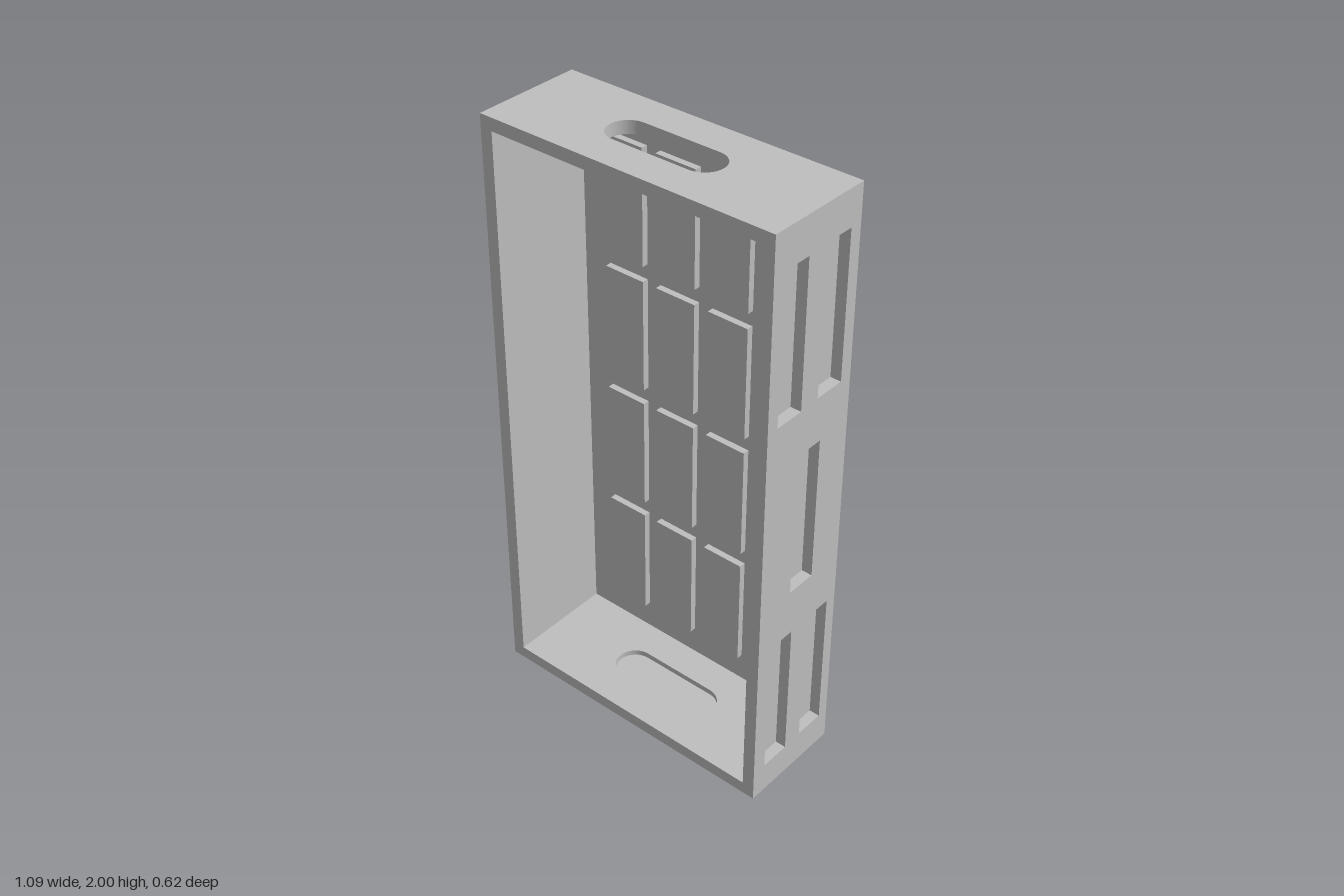
import * as THREE from 'three';

const W = 1.03, H = 2, D = 0.37;      // outer size of the case
const WALL = 0.042, BACK = 0.006;     // wall and back thickness
const POCKET = 0.036;                 // depth of the side slots

const grey = new THREE.MeshStandardMaterial({ color: 0xbebebe });
grey.name = 'plain grey';

function rectangle(x0, y0, x1, y1, Type = THREE.Shape) {
  const s = new Type();
  s.moveTo(x0, y0);
  s.lineTo(x1, y0);
  s.lineTo(x1, y1);
  s.lineTo(x0, y1);
  s.closePath();
  return s;
}

// Rounded hand hole
function stadium(half, r) {
  const p = new THREE.Path();
  p.absarc(half, 0, r, -Math.PI / 2, Math.PI / 2, false);
  p.absarc(-half, 0, r, Math.PI / 2, Math.PI * 1.5, false);
  p.closePath();
  return p;
}

function extrude(shape, depth) {
  return new THREE.ExtrudeGeometry(shape, { depth, bevelEnabled: false, curveSegments: 16 });
}

export function createModel() {
  const model = new THREE.Group();
  model.name = 'openCase';

  function add(name, geometry, x, y, z) {
    const mesh = new THREE.Mesh(geometry, grey);
    mesh.name = name;
    mesh.position.set(x, y, z);
    model.add(mesh);
  }
  function box(name, w, h, d, x, y, z) {
    add(name, new THREE.BoxGeometry(w, h, d), x, y, z);
  }

  // Side walls: slotted outer layer and a closed inner skin
  const slots = [
    [0.039, 1.39, 0.143, 1.875], [-0.142, 1.395, -0.035, 1.88],
    [-0.058, 0.75, 0.046, 1.24],
    [0.029, 0.105, 0.133, 0.587], [-0.146, 0.11, -0.042, 0.592],
  ];
  const side = rectangle(-D / 2, 0, D / 2, H);
  for (const s of slots) side.holes.push(rectangle(...s, THREE.Path));
  const sideGeometry = extrude(side, POCKET).rotateY(-Math.PI / 2);
  const skin = WALL - POCKET;
  add('leftWall', sideGeometry, W / 2, 0, 0);
  add('rightWall', sideGeometry, -W / 2 + POCKET, 0, 0);
  for (const s of [-1, 1]) {
    box('wallSkin', skin, H, D, s * (W / 2 - WALL + skin / 2), H / 2, 0);
  }

  // Top and bottom with hand holes; the bottom hole is closed half way
  const inner = W / 2 - WALL;
  const cap = rectangle(-inner, -D / 2, inner, D / 2);
  cap.holes.push(stadium(0.134, 0.065));
  const capLayer = (depth) => extrude(cap, depth).rotateX(Math.PI / 2);
  add('topWall', capLayer(WALL), 0, H, 0);
  const layer = 0.019;
  add('bottomOuterLayer', capLayer(layer), 0, layer, 0);
  add('bottomInnerLayer', capLayer(layer), 0, WALL, 0);
  box('bottomMembrane', 2 * inner, WALL - 2 * layer, D, 0, WALL / 2, 0);

  // Back sheet with a grid of raised panels
  box('backSheet', 2 * inner, H - 2 * WALL, BACK, 0, H / 2, -D / 2 + BACK / 2);
  const raise = 0.022;
  for (let col = 0; col < 4; col++) {
    for (let row = 0; row < 4; row++) {
      box('backPanel', 0.148, 0.39, raise,
        (col - 1.5) * 0.199, 1 + (row - 1.5) * 0.442, -D / 2 + BACK + raise / 2);
    }
  }

  // The case stands turned slightly
  model.rotation.y = -THREE.MathUtils.degToRad(15);
  const root = new THREE.Group();
  root.name = 'case';
  root.add(model);
  return root;
}
